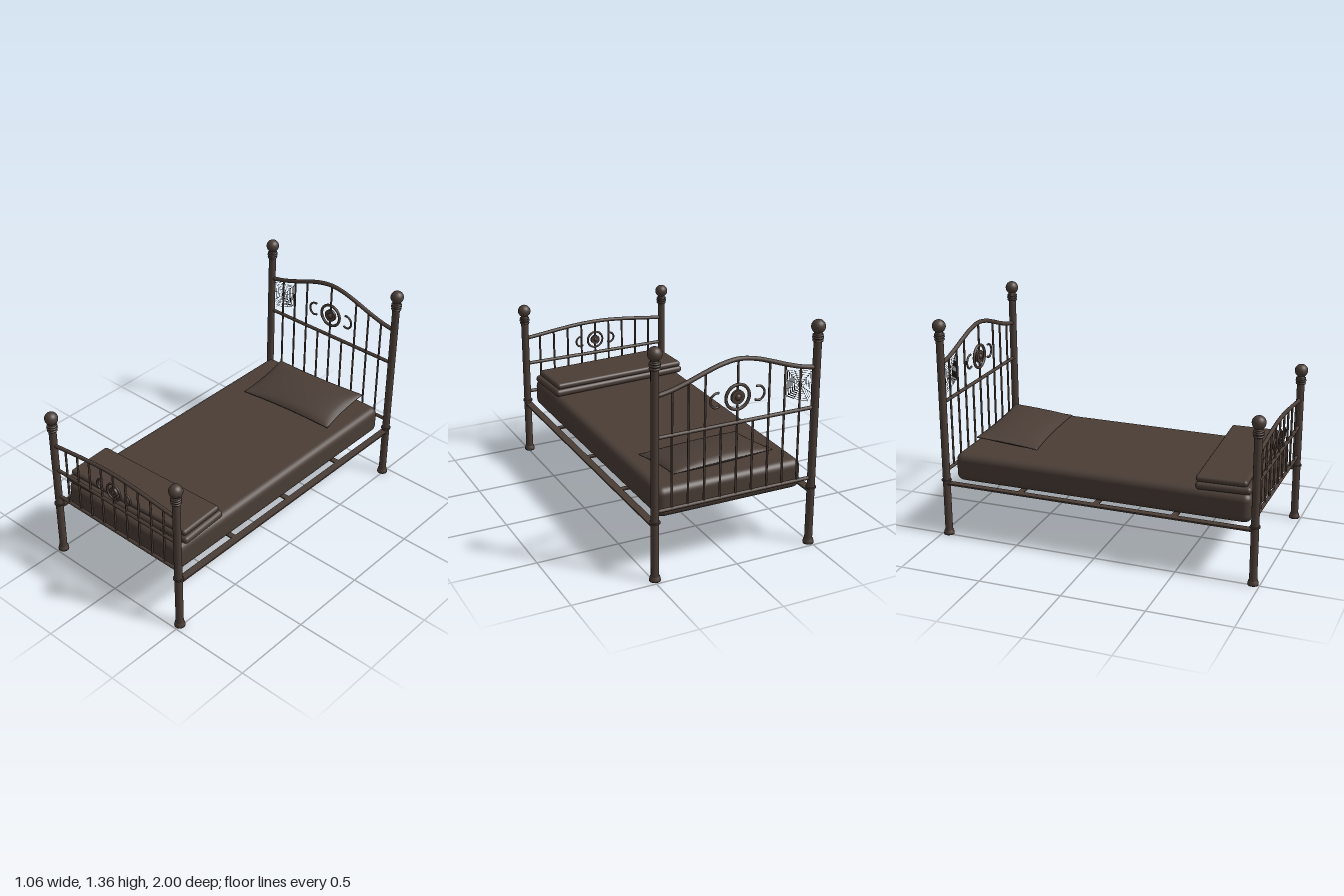
import * as THREE from 'three';
import { RoundedBoxGeometry } from 'three/addons/geometries/RoundedBoxGeometry.js';
import { mergeVertices, mergeGeometries } from 'three/addons/utils/BufferGeometryUtils.js';

const brown = new THREE.MeshStandardMaterial({ color: 0x4a3d36 });
brown.name = 'dark brown';

const POST_X = 0.49, END_Z = 0.96;
const v = (x, y, z = 0) => new THREE.Vector3(x, y, z);

function add(parent, name, geometry, x = 0, y = 0, z = 0) {
  const mesh = new THREE.Mesh(geometry, brown);
  mesh.name = name;
  mesh.position.set(x, y, z);
  parent.add(mesh);
  return mesh;
}

// Straight round bar between two points
function rod(a, b, radius, sides = 10) {
  const dir = b.clone().sub(a);
  const g = new THREE.CylinderGeometry(radius, radius, dir.length(), sides);
  g.applyQuaternion(new THREE.Quaternion().setFromUnitVectors(v(0, 1), dir.normalize()));
  return g.translate((a.x + b.x) / 2, (a.y + b.y) / 2, (a.z + b.z) / 2);
}

// Turned post with flared foot, collar, neck rings and ball finial
function post(parent, name, x, z, ballY) {
  const group = new THREE.Group();
  group.name = name;
  group.position.set(x, 0, z);
  parent.add(group);
  const r = 0.023;
  const profile = [[0, 0], [0.032, 0], [0.032, 0.008], [0.028, 0.026], [r, 0.03],
    [r, ballY - 0.088], [r, ballY - 0.03], [0, ballY - 0.02]];
  add(group, 'shaft', new THREE.LatheGeometry(profile.map(p => new THREE.Vector2(...p)), 24));
  add(group, 'collar', new THREE.CylinderGeometry(0.03, 0.03, 0.008, 24), 0, 0.355);
  [[0.049, 0.025], [0.062, 0.027], [0.079, 0.025]].forEach(([drop, ringR]) =>
    add(group, 'neckRing', new THREE.TorusGeometry(ringR, 0.006, 8, 24).rotateX(Math.PI / 2), 0, ballY - drop));
  add(group, 'ballFinial', new THREE.SphereGeometry(0.04, 28, 18), 0, ballY);
}

// Ring, boss and C scrolls at the middle of a panel
function medallion(parent, y, s, scrollX, scrollR) {
  const group = new THREE.Group();
  group.name = 'medallion';
  group.position.y = y;
  parent.add(group);
  add(group, 'outerRing', new THREE.TorusGeometry(0.071 * s, 0.009 * s, 10, 40));
  add(group, 'disc', new THREE.CylinderGeometry(0.04 * s, 0.04 * s, 0.016, 32).rotateX(Math.PI / 2));
  add(group, 'knob', new THREE.SphereGeometry(0.02 * s, 16, 12));
  for (const side of [-1, 1]) {
    const pts = [];
    for (let i = 0; i <= 16; i++) {
      const a = THREE.MathUtils.degToRad(-105 + i * 12.5);
      const r = scrollR * (i < 3 ? 0.86 + i * 0.045 : 1);
      pts.push(v(side * (scrollX + r * Math.cos(a)), r * Math.sin(a)));
    }
    add(group, 'scroll', new THREE.TubeGeometry(new THREE.CatmullRomCurve3(pts), 36, 0.0065, 8));
    for (const p of [pts[0], pts[16]])
      add(group, 'scrollTip', new THREE.SphereGeometry(0.0075, 10, 8), p.x, p.y);
  }
}

// Arched end panel with rails and upright bars
function panel(parent, name, z, arch, archR, midY, midBarsReachArch) {
  const group = new THREE.Group();
  group.name = name;
  group.position.z = z;
  parent.add(group);
  const half = arch.map(([x, y]) => v(x, y));
  const left = half.slice(1).reverse().map(p => v(-p.x, p.y));
  const curve = new THREE.CatmullRomCurve3([...left, ...half]);
  add(group, 'archRail', new THREE.TubeGeometry(curve, 64, archR, 12));
  for (const y of [midY, 0.415])
    add(group, 'crossRail', rod(v(-POST_X, y), v(POST_X, y), 0.011, 12));
  const samples = curve.getPoints(300);
  const archY = x => samples.reduce((a, b) => Math.abs(b.x - x) < Math.abs(a.x - x) ? b : a).y;
  for (let i = -4; i <= 4; i++) {
    const x = i * 0.0975;
    const top = Math.abs(i) === 1 && !midBarsReachArch ? midY : archY(x);
    add(group, 'uprightBar', rod(v(x, 0.415), v(x, top), 0.0065));
  }
  return group;
}

// Cobweb between post and bars
function cobweb(parent) {
  const hub = v(-0.39, 0.99);
  const rim = [[-0.3, 1.1], [-0.35, 1.085], [-0.405, 1.08], [-0.467, 1.065], [-0.467, 0.995], [-0.467, 0.93],
    [-0.445, 0.885], [-0.4, 0.895], [-0.35, 0.915], [-0.3, 0.94], [-0.3, 0.985], [-0.3, 1.04]].map(p => v(...p));
  const threads = rim.map(p => rod(hub, p, 0.0012, 4));
  for (let k = 1; k <= 7; k++) {
    const ring = rim.map(p => hub.clone().lerp(p, k / 7.5));
    ring.forEach((p, i) => {
      const dense = i >= 8 && k > 2;
      threads.push(rod(p, ring[(i + 1) % ring.length], dense ? 0.0026 : 0.001, 4));
    });
  }
  add(parent, 'cobweb', mergeGeometries(threads));
}

// Puffed cushion with pinched sides and a thin seam
function pillowGeometry(w, h, d) {
  let g = new THREE.BoxGeometry(2, 2, 2, 28, 1, 20);
  g.deleteAttribute('uv');
  g.deleteAttribute('normal');
  g = mergeVertices(g);
  const p = g.attributes.position;
  for (let i = 0; i < p.count; i++) {
    const x = p.getX(i), y = p.getY(i), z = p.getZ(i);
    const fx = Math.max(0, 1 - x * x), fz = Math.max(0, 1 - z * z);
    p.setXYZ(i, x * w / 2 * (1 - 0.035 * fz), y * (0.003 + h / 2 * Math.pow(fx * fz, 0.55)),
      z * d / 2 * (1 - 0.06 * fx));
  }
  g.computeVertexNormals();
  return g;
}

export function createModel() {
  const bed = new THREE.Group();
  bed.name = 'bed';

  // Posts
  for (const x of [-POST_X, POST_X]) {
    post(bed, 'headPost', x, -END_Z, 1.315);
    post(bed, 'footPost', x, END_Z, 0.97);
  }

  // Headboard and footboard
  const head = panel(bed, 'headboard', -END_Z,
    [[0, 1.208], [0.1, 1.194], [0.2, 1.163], [0.3, 1.127], [0.4, 1.097], [0.48, 1.082]], 0.013, 0.845, false);
  medallion(head, 0.992, 1, 0.122, 0.043);
  cobweb(head);
  const foot = panel(bed, 'footboard', END_Z,
    [[0, 0.827], [0.12, 0.823], [0.25, 0.811], [0.36, 0.798], [0.48, 0.784]], 0.012, 0.61, true);
  medallion(foot, 0.7, 0.74, 0.1, 0.034);

  // Flat side rails and cross slats
  for (const x of [-POST_X, POST_X])
    add(bed, 'sideRail', new THREE.BoxGeometry(0.045, 0.01, 2 * END_Z), x, 0.335, 0);
  for (const z of [-0.48, 0, 0.48])
    add(bed, 'slat', new THREE.BoxGeometry(0.96, 0.008, 0.035), 0, 0.335, z);

  // Mattress
  add(bed, 'mattress', new RoundedBoxGeometry(0.905, 0.177, 1.84, 6, 0.045), 0, 0.427, 0);

  // Pillow, propped up slightly at the back
  const pillow = add(bed, 'pillow', pillowGeometry(0.645, 0.085, 0.39), 0.033, 0.557, -0.67);
  pillow.rotation.set(0.1, 0.065, 0, 'YXZ');

  // Folded blanket in two layers
  const lower = add(bed, 'blanketLowerFold', new RoundedBoxGeometry(0.915, 0.046, 0.325, 5, 0.022), 0, 0.535, 0.73);
  const upper = add(bed, 'blanketUpperFold', new RoundedBoxGeometry(0.885, 0.038, 0.3, 5, 0.018), -0.005, 0.574, 0.725);
  lower.rotation.y = 0.06;
  upper.rotation.y = 0.045;

  return bed;
}
